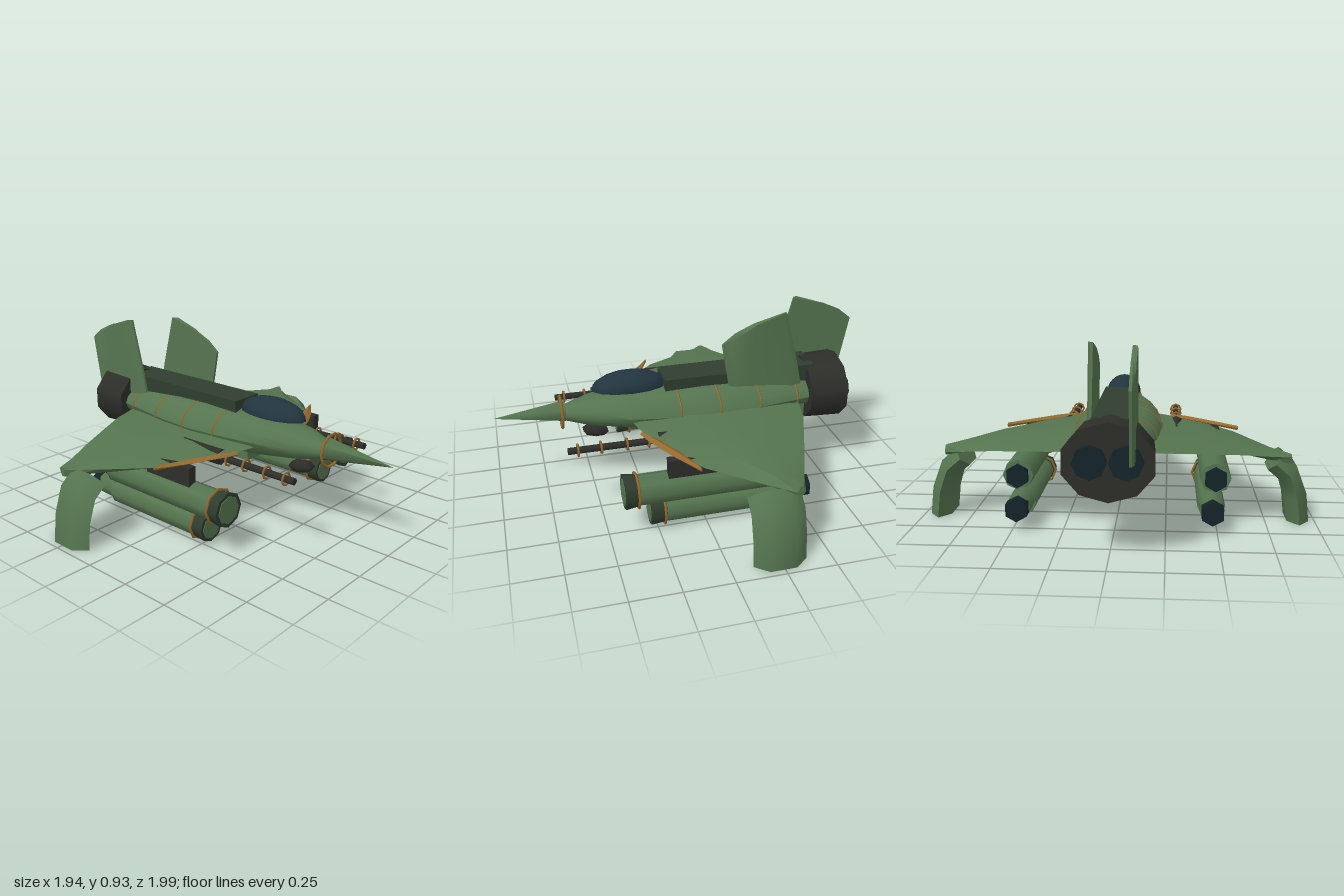
import * as THREE from 'three';
import { toCreasedNormals } from 'three/addons/utils/BufferGeometryUtils.js';

const paint = (color) => new THREE.MeshStandardMaterial({ color });
const green = paint(0x55744f), darkGreen = paint(0x2f3d2f), charcoal = paint(0x2d2d2a);
const tan = paint(0x94692f), glass = paint(0x22353f), burner = paint(0x14242a);

function add(parent, name, geometry, material, x = 0, y = 0, z = 0) {
  const mesh = new THREE.Mesh(geometry, material);
  mesh.name = name;
  mesh.position.set(x, y, z);
  parent.add(mesh);
  return mesh;
}

// Cylinder lying along z between two stations
function tube(parent, name, material, x, y, zBack, zFront, rBack, rFront, sides = 8) {
  const g = new THREE.CylinderGeometry(rFront, rBack, zFront - zBack, sides).rotateX(Math.PI / 2);
  return add(parent, name, g, material, x, y, (zBack + zFront) / 2);
}

const hoop = (parent, name, x, y, z, r, t = 0.008, sides = 10) =>
  add(parent, name, new THREE.TorusGeometry(r, t, 5, sides), tan, x, y, z);

// Closed skin through equal-length rings of [x, y, z], facing outward
function loft(rings, crease = 0.7) {
  const n = rings[0].length, pos = rings.flat(2), idx = [];
  for (let i = 0; i < rings.length - 1; i++)
    for (let j = 0; j < n; j++) {
      const a = i * n + j, b = i * n + (j + 1) % n;
      idx.push(a, b, a + n, b, b + n, a + n);
    }
  const e = (rings.length - 1) * n;
  for (let j = 1; j < n - 1; j++) idx.push(0, j + 1, j, e, e + j, e + j + 1);
  const p = (i) => new THREE.Vector3().fromArray(pos, i * 3);
  let volume = 0;
  for (let k = 0; k < idx.length; k += 3) volume += p(idx[k]).dot(p(idx[k + 1]).cross(p(idx[k + 2])));
  if (volume < 0) idx.reverse();
  const g = new THREE.BufferGeometry();
  g.setAttribute('position', new THREE.Float32BufferAttribute(pos, 3));
  g.setIndex(idx);
  return toCreasedNormals(g, crease);
}

// Fuselage stations: z, half width, half height
const stations = [
  [0.65, 0.045, 0.035], [0.5, 0.115, 0.075], [0.3, 0.17, 0.1], [0.1, 0.205, 0.115],
  [-0.1, 0.226, 0.12], [-0.3, 0.216, 0.115], [-0.5, 0.185, 0.1], [-0.7, 0.155, 0.082],
];
const BODY_Y = 0.45;

function fuselage(g) {
  const rings = stations.map(([z, w, h]) => Array.from({ length: 14 }, (_, i) => {
    const a = (i / 14) * Math.PI * 2;
    return [w * Math.cos(a), BODY_Y + h * Math.sin(a), z];
  }));
  add(g, 'fuselage', loft(rings), green);
  [[0.05, 0.212, 0.117], [-0.16, 0.225, 0.119], [-0.385, 0.204, 0.109], [-0.605, 0.171, 0.092]]
    .forEach(([z, w, h]) => hoop(g, 'bodyBand', 0, BODY_Y, z, 1, 0.02, 14).scale.set(w, h, 0.25));
  tube(g, 'noseCone', green, 0, 0.46, 0.63, 0.99, 0.062, 0.001, 6);
  hoop(g, 'noseRing', 0, 0.455, 0.65, 0.085);
  add(g, 'spine', new THREE.BoxGeometry(0.18, 0.1, 0.83), darkGreen, 0, 0.562, -0.305);
  add(g, 'belly', new THREE.BoxGeometry(0.2, 0.12, 0.92), green, 0, 0.37, -0.26);
  const dome = new THREE.SphereGeometry(1, 14, 6, 0, Math.PI * 2, 0, Math.PI / 2);
  const canopy = add(g, 'canopy', dome, glass, 0, 0.56, 0.285);
  canopy.scale.set(0.095, 0.09, 0.2);
  canopy.material.side = THREE.DoubleSide;
  // Chin sensor, tilted under the nose
  const chin = add(g, 'chinSensor', new THREE.SphereGeometry(1, 6, 4), charcoal, 0, 0.325, 0.475);
  chin.scale.set(0.045, 0.035, 0.078);
  chin.rotation.x = -0.15;
  // Tail shroud and twin exhausts
  tube(g, 'tailShroud', charcoal, 0, 0.45, -0.88, -0.675, 0.215, 0.205, 10).scale.y = 0.84;
  [-1, 1].forEach((s) => tube(g, 'exhaust', burner, s * 0.08, 0.455, -0.91, -0.87, 0.077, 0.077, 8));
}

// Wing stations: x, leading z, trailing z, mid y
const wingRows = [
  [0.17, 0.3, -0.61, 0.43], [0.3, 0.255, -0.585, 0.418], [0.43, 0.2, -0.535, 0.405],
  [0.61, 0.04, -0.465, 0.385], [0.77, -0.19, -0.4, 0.362], [0.865, -0.33, -0.37, 0.352],
];

function wing(side) {
  // The cambers of the two wings oppose each other
  const [up, down] = side > 0 ? [0.033, 0.02] : [0.012, 0.04];
  const rings = wingRows.map(([x, a, b, y]) => {
    const at = (t, h) => [side * x, y + h, a + (b - a) * t];
    return [at(0, 0), at(0.3, up), at(0.65, up * 0.9), at(1, 0), at(0.65, -down * 0.9), at(0.3, -down)];
  });
  return loft(rings, 0.5);
}

// Drooping tip: hexagonal section swept down an arc
function wingTip(side) {
  const path = [[0.79, 0.315, 0.9], [0.86, 0.255, 0.75], [0.9, 0.14, 0.2], [0.915, 0.005, 0]];
  const rings = path.map(([x, y, lean]) => Array.from({ length: 6 }, (_, i) => {
    const a = (i / 6) * Math.PI * 2, off = 0.063 * Math.sin(a);
    return [side * (x + off * Math.cos(lean)), y + off * Math.sin(lean), -0.243 + 0.133 * Math.cos(a)];
  }));
  return loft(rings, 0.9);
}

function wingSide(root, side) {
  const g = new THREE.Group();
  g.name = side > 0 ? 'leftWingGroup' : 'rightWingGroup';
  root.add(g);
  add(g, 'wing', wing(side), green);
  add(g, 'wingTip', wingTip(side), green);
  // Swept blade near the wing root
  const blade = [[0.27, 0.418, 0.012], [0.36, 0.417, 0.03], [0.5, 0.408, 0.028], [0.635, 0.398, 0.006]]
    .map(([x, y, w]) => {
      const z = 0.275 - (x - 0.27) * 0.57;
      return [[side * x, y, z + w], [side * x, y + 0.012, z], [side * x, y, z - w], [side * x, y - 0.012, z]];
    });
  add(g, 'rootBlade', loft(blade), tan);
  // Gun
  const gx = side * 0.3, gy = 0.39;
  tube(g, 'gunBody', charcoal, gx, gy, -0.06, 0.2, 0.042, 0.042);
  tube(g, 'gunBarrel', charcoal, gx, gy, -0.11, 0.655, 0.018, 0.018);
  [0.25, 0.36, 0.49, 0.605].forEach((z) => hoop(g, 'gunRing', gx, gy, z, 0.03, 0.006, 8));
  // Pylon and stacked pods
  add(g, 'pylon', new THREE.BoxGeometry(0.045, 0.1, 0.3), charcoal, side * 0.51, 0.35, 0.05);
  const ux = side * 0.495, lx = side * 0.475;
  tube(g, 'upperPod', green, ux, 0.24, -0.375, 0.36, 0.078, 0.078);
  tube(g, 'upperPodCollar', darkGreen, ux, 0.24, 0.35, 0.42, 0.08, 0.09);
  tube(g, 'upperPodFace', green, ux, 0.24, 0.41, 0.423, 0.075, 0.07);
  hoop(g, 'upperPodRing', ux, 0.24, 0.355, 0.089, 0.007, 8);
  tube(g, 'upperPodNozzle', burner, ux, 0.24, -0.41, -0.37, 0.06, 0.06, 6);
  tube(g, 'lowerPod', green, lx, 0.1, -0.38, 0.22, 0.07, 0.07);
  tube(g, 'lowerPodCollar', darkGreen, lx, 0.1, 0.21, 0.29, 0.07, 0.077);
  tube(g, 'lowerPodFace', green, lx, 0.1, 0.28, 0.293, 0.062, 0.06);
  hoop(g, 'lowerPodRing', lx, 0.1, 0.22, 0.08, 0.007, 8);
  tube(g, 'lowerPodTail', green, lx, 0.112, -0.495, -0.375, 0.06, 0.064);
  tube(g, 'lowerPodNozzle', burner, lx, 0.112, -0.55, -0.49, 0.06, 0.06, 6);
}

// Tail fins: the right one is the left one turned about, so they stagger
function tailFin(root, side) {
  const outline = [[-0.25, 0.45], [-0.19, 0.785], [-0.26, 0.84], [-0.36, 0.885], [-0.535, 0.932],
    [-0.61, 0.65], [-0.655, 0.45]];
  const midZ = -0.595;
  const section = (x, k) => outline.map(([z, y]) => {
    const d = (-0.42 + (z + 0.42) * k) - midZ;
    return [side * x, y, midZ + side * d];
  });
  const geo = loft([section(0.095, 1), section(0.108, 1), section(0.12, 0.8)], 0.5);
  add(root, side > 0 ? 'leftFin' : 'rightFin', geo, green);
}

export function createModel() {
  const model = new THREE.Group();
  model.name = 'strikeCraft';
  fuselage(model);
  [-1, 1].forEach((side) => {
    wingSide(model, side);
    tailFin(model, side);
  });
  return model;
}
